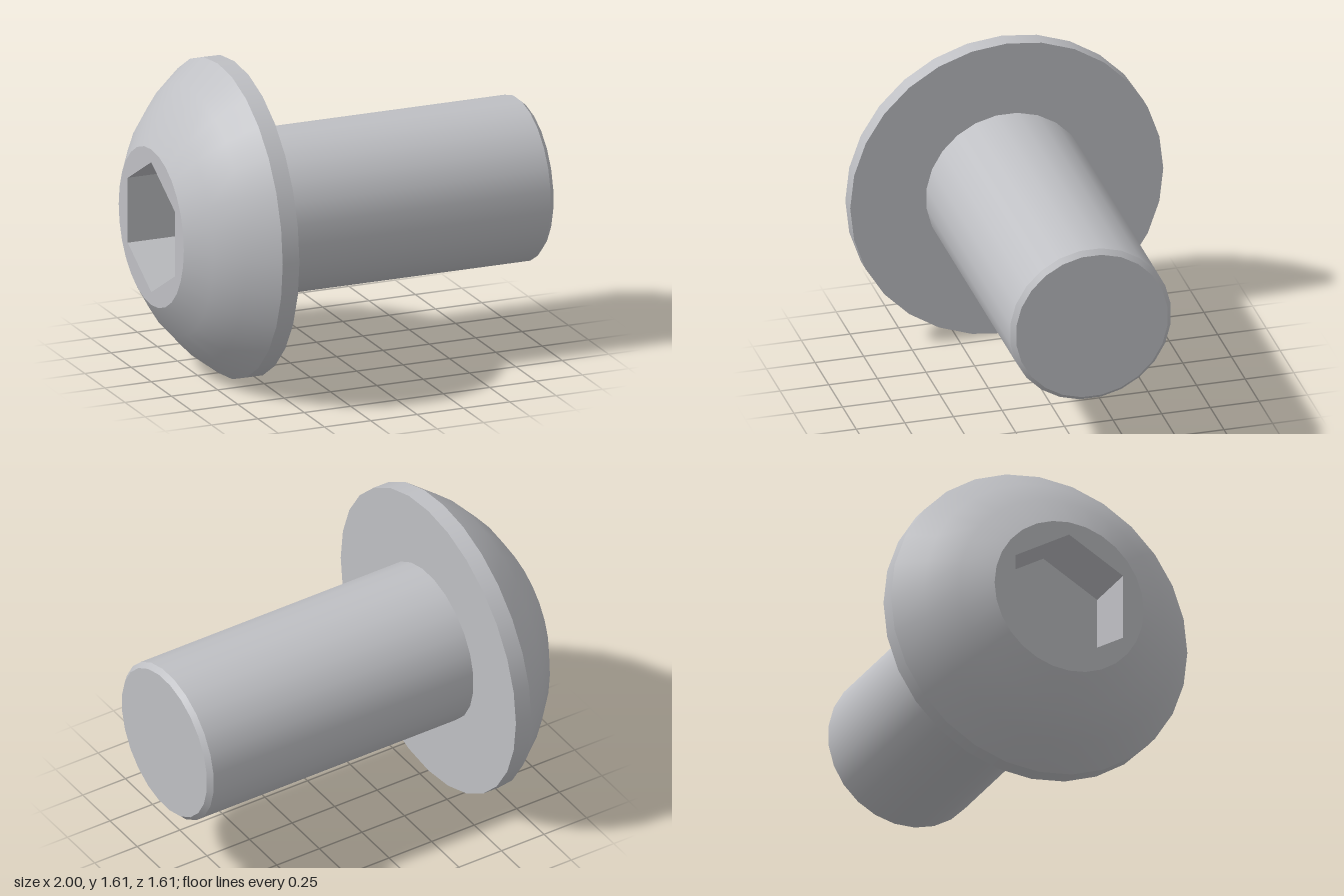
import * as THREE from 'three';

const HEAD_SIDES = 28, SHAFT_SIDES = 24;
const HEAD_R = 0.805, FACE_R = 0.405, SHAFT_R = 0.416, TIP_R = 0.392, HEX_R = 0.338;

export function createModel() {
  const steel = new THREE.MeshStandardMaterial({ color: 0xbfc0c4 });
  const screw = new THREE.Group();
  screw.name = 'screw';
  screw.position.y = HEAD_R;

  const add = (name, geometry) => {
    const mesh = new THREE.Mesh(geometry, steel);
    mesh.name = name;
    screw.add(mesh);
  };

  // Turned surface around the x axis; profile points are [x, radius]
  const turn = (profile, sides, phase = 0) =>
    new THREE.LatheGeometry(profile.map(([x, r]) => new THREE.Vector2(r, x)), sides, phase)
      .rotateZ(-Math.PI / 2);

  // Regular polygon outline with a corner at the top
  const polygon = (radius, sides) =>
    Array.from({ length: sides }, (_, i) => {
      const a = (i / sides) * Math.PI * 2;
      return new THREE.Vector2(radius * Math.sin(a), radius * Math.cos(a));
    });

  // Head: dome, rim and flat underside, each with its own smooth normals
  add('headDome', turn([[-1, FACE_R], [-0.908, 0.557], [-0.787, 0.692], [-0.64, HEAD_R]], HEAD_SIDES));
  add('headRim', turn([[-0.64, HEAD_R], [-0.55, HEAD_R]], HEAD_SIDES));
  add('headUnderside', turn([[-0.55, HEAD_R], [-0.55, 0.38]], HEAD_SIDES));

  // Flat face of the head with the hexagonal opening
  const face = new THREE.Shape(polygon(FACE_R, HEAD_SIDES));
  face.holes.push(new THREE.Path(polygon(HEX_R, 6)));
  add('headFace', new THREE.ShapeGeometry(face).rotateY(-Math.PI / 2).translate(-1, 0, 0));

  // Hexagonal socket: floor and inward-facing walls
  const socket = turn([[-0.69, 0], [-0.69, HEX_R], [-1, HEX_R]], 6, Math.PI / 2).toNonIndexed();
  socket.computeVertexNormals();
  add('hexSocket', socket);

  // Shaft with a small chamfer and a flat tip
  const half = Math.PI / SHAFT_SIDES;
  add('shaft', turn([[-0.55, SHAFT_R], [0.975, SHAFT_R]], SHAFT_SIDES, half));
  add('shaftChamfer', turn([[0.975, SHAFT_R], [1, TIP_R]], SHAFT_SIDES, half));
  add('shaftTip', turn([[1, TIP_R], [1, 0]], SHAFT_SIDES, half));

  const model = new THREE.Group();
  model.add(screw);
  return model;
}
